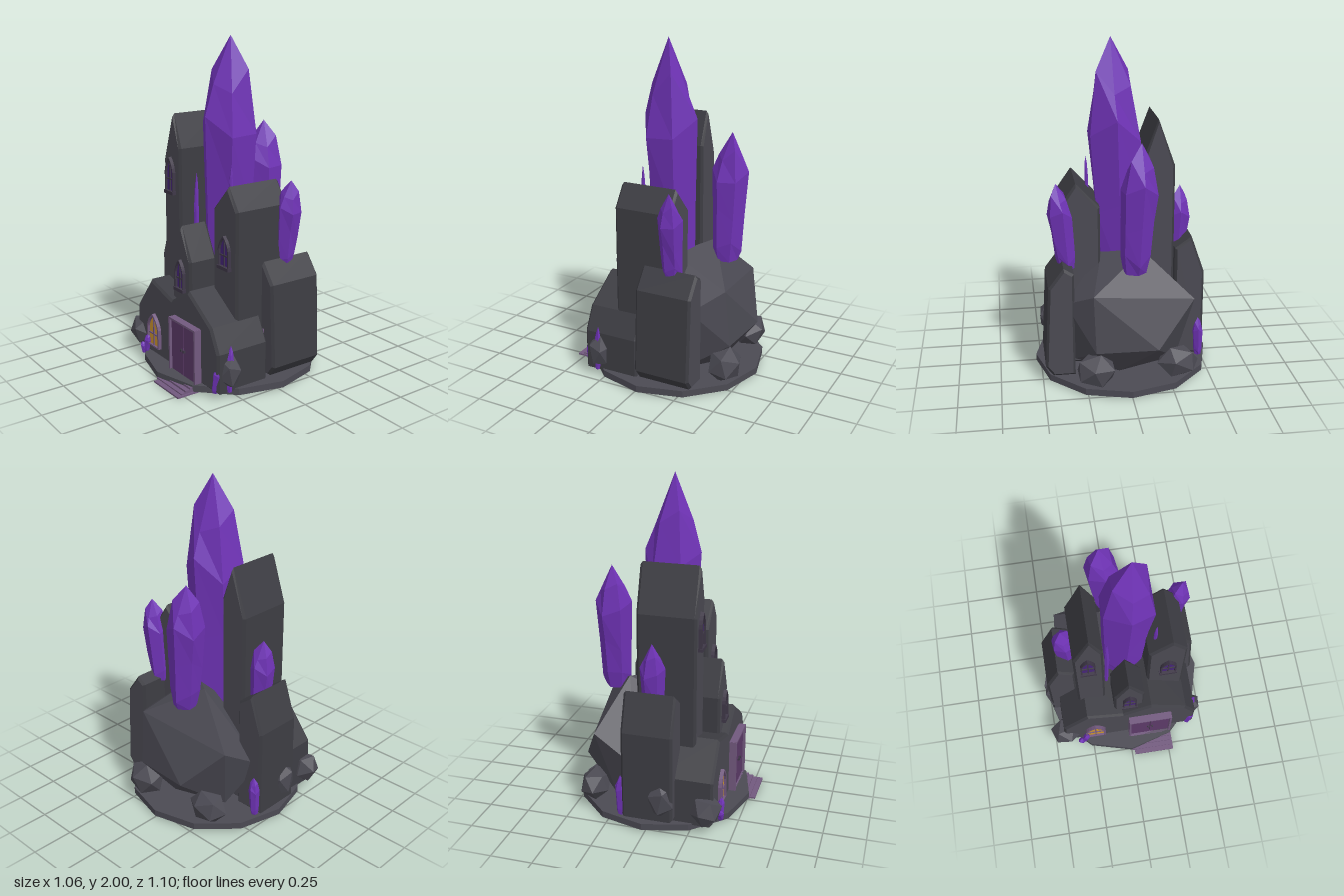
import * as THREE from 'three';
import { ConvexGeometry } from 'three/addons/geometries/ConvexGeometry.js';

const mat = (name, color, flatShading = true) => {
  const m = new THREE.MeshStandardMaterial({ color, flatShading });
  m.name = name;
  return m;
};
const V = (x, y, z) => new THREE.Vector3(x, y, z);

export function createModel() {
  const stone = mat('stone', 0x4b4a53);
  const darkStone = mat('dark stone', 0x3d3d43);
  const crystalMat = mat('crystal', 0x6f33b6);
  const doorMat = mat('door wood', 0x5d3b69);
  const trim = mat('mauve trim', 0x72597e);
  const gold = mat('lit glass', 0xd0962f);
  const pane = mat('violet glass', 0x46257a);
  const frameMat = mat('window frame', 0x3f3848);

  const model = new THREE.Group();
  const add = (name, geo, material, x = 0, y = 0, z = 0, parent = model) => {
    const m = new THREE.Mesh(geo, material);
    m.name = name;
    m.position.set(x, y, z);
    parent.add(m);
    return m;
  };
  const box = (name, material, x0, x1, y0, y1, z0, z1, parent) =>
    add(name, new THREE.BoxGeometry(x1 - x0, y1 - y0, z1 - z0), material,
      (x0 + x1) / 2, (y0 + y1) / 2, (z0 + z1) / 2, parent);

  // Ground disc
  add('base', new THREE.CylinderGeometry(0.53, 0.53, 0.04, 12), stone, 0, 0.03, -0.02);

  // Bevelled gabled slabs running front to back
  const slab = (name, pts, z0, z1, b = 0.014) => {
    const shape = new THREE.Shape(pts.map(p => new THREE.Vector2(...p)));
    const geo = new THREE.ExtrudeGeometry(shape, {
      depth: z1 - z0 - 2 * b, bevelThickness: b, bevelSize: b, bevelOffset: -b, bevelSegments: 1,
    });
    add(name, geo, [stone, darkStone], 0, 0, z0 + b);
  };
  slab('house', [[-0.44, 0.04], [0.44, 0.04], [0.44, 0.28], [0.37, 0.42], [0.14, 0.57],
    [-0.04, 0.46], [-0.27, 0.525], [-0.43, 0.32]], 0.03, 0.38);
  box('houseBackPanel', trim, -0.4, 0.4, 0.07, 0.34, 0.023, 0.031);

  const tower = (name, x0, x1, y0, yl, xa, ya, yr, z0, z1) =>
    slab(name, [[x0, y0], [x1, y0], [x1, yr], [xa, ya], [x0, yl]], z0, z1);
  tower('tallTower', -0.31, -0.135, 0.05, 1.26, -0.21, 1.54, 1.34, -0.11, 0.245);
  tower('broadTower', 0.14, 0.37, 0.05, 1.04, 0.28, 1.19, 1.06, -0.16, 0.2);
  tower('centreTower', -0.09, 0.1, 0.2, 0.7, 0, 0.92, 0.72, 0.15, 0.335);
  tower('rightSideTower', -0.49, -0.31, 0.06, 0.6, -0.41, 0.83, 0.76, -0.155, 0.155);
  slab('leftSideTower', [[0.31, 0.06], [0.44, 0.06], [0.485, 0.12], [0.46, 0.62],
    [0.37, 0.74], [0.31, 0.7]], -0.33, 0.02);

  // Large boulder at the back
  add('boulder', new ConvexGeometry([
    V(-0.16, 0.27, -0.485), V(0.21, 0.6, -0.43), V(0.36, 0.5, -0.28), V(-0.39, 0.52, -0.35),
    V(-0.1, 0.79, -0.22), V(0.12, 0.74, -0.05), V(0.05, 0.07, -0.33), V(-0.3, 0.1, -0.25),
    V(0.3, 0.1, -0.2), V(-0.42, 0.35, -0.08), V(0.4, 0.3, -0.05), V(0, 0.6, 0.1),
    V(0.2, 0.26, -0.46), V(0, 0.1, 0.05),
  ]), stone);

  // Small rocks around the base
  [
    [-0.42, 0.14, 0.34, 0.105, 0.1, 0.095, 0.3],
    [0.415, 0.16, 0.29, 0.085, 0.115, 0.075, 1.1],
    [0.2, 0.14, -0.43, 0.125, 0.11, 0.105, 2],
    [-0.29, 0.14, -0.385, 0.13, 0.1, 0.095, 0.8],
    [-0.45, 0.19, 0.08, 0.085, 0.13, 0.09, 1.7],
  ].forEach(([x, y, z, sx, sy, sz, turn]) => {
    const geo = new THREE.IcosahedronGeometry(1, 0);
    geo.rotateY(turn).rotateX(0.3).scale(sx, sy, sz);
    add('rock', geo, stone, x, y, z);
  });

  // Six-sided crystals: a lathed profile with uneven rings, leaning from base to tip
  const profile = [[0, 0], [0.62, 0], [0.8, 0.12], [0.88, 0.38], [1, 0.66], [0.68, 0.83], [0, 1]];
  const crystal = (name, r, y0, y1, bx, bz, tx, tz, turn = 0) => {
    const h = y1 - y0;
    const geo = new THREE.LatheGeometry(
      profile.map(([pr, t]) => new THREE.Vector2(pr * r, t * h)), 6, turn);
    const p = geo.attributes.position, n = profile.length;
    for (let i = 0; i < p.count; i++) {
      const ring = i % n, side = Math.floor(i / n) % 6;
      const t = profile[ring][1];
      const shift = ring > 1 && ring < n - 1 ? 0.05 * Math.sin(side * 2.3 + ring * 1.9) : 0;
      p.setXYZ(i, p.getX(i) + bx + (tx - bx) * t, y0 + (t + shift) * h, p.getZ(i) + bz + (tz - bz) * t);
    }
    geo.computeVertexNormals();
    add(name, geo, crystalMat);
  };
  crystal('mainCrystal', 0.17, 0.45, 2, 0.0, 0, 0.055, 0.015);
  crystal('backCrystal', 0.11, 0.7, 1.465, -0.04, -0.32, -0.075, -0.33, 0.15);
  crystal('leftCrystal', 0.075, 0.68, 1.2, 0.34, -0.16, 0.395, -0.165, 0.2);
  crystal('rightCrystal', 0.075, 0.6, 1.11, -0.33, 0, -0.36, 0, 0.1);
  crystal('shard', 0.016, 0.53, 1.2, -0.115, 0.15, -0.1, 0.15);
  crystal('shard', 0.012, 0.95, 1.28, 0.185, 0.11, 0.195, 0.11);
  crystal('groundCrystal', 0.022, 0.04, 0.165, -0.305, 0.4, -0.285, 0.4);
  crystal('groundCrystal', 0.02, 0.03, 0.1, -0.32, 0.405, -0.335, 0.41);
  crystal('groundCrystal', 0.03, 0.04, 0.21, 0.4, 0.37, 0.42, 0.355);
  crystal('groundCrystal', 0.022, 0.04, 0.32, 0.44, 0.3, 0.44, 0.29);
  crystal('groundCrystal', 0.033, 0.06, 0.31, -0.46, -0.165, -0.455, -0.17);

  // Pointed windows: glass, frame with opening, mullions and sill
  const arch = (path, w, h) => {
    const s = h * 0.58;
    path.moveTo(-w, 0);
    path.lineTo(w, 0);
    path.lineTo(w, s);
    path.quadraticCurveTo(w * 0.8, h * 0.82, 0, h);
    path.quadraticCurveTo(-w * 0.8, h * 0.82, -w, s);
    path.closePath();
    return path;
  };
  const gothicWindow = (name, x, y, z, w, h, glass, frame, sill) => {
    const g = new THREE.Group();
    g.name = name;
    g.position.set(x, y, z);
    model.add(g);
    const opts = { bevelEnabled: false, curveSegments: 4 };
    const outer = arch(new THREE.Shape(), w, h);
    const inner = arch(new THREE.Path(), w * 0.82, h * 0.9);
    inner.curves.forEach(c => ['v0', 'v1', 'v2'].forEach(k => c[k] && (c[k].y += h * 0.04)));
    outer.holes.push(inner);
    add('frame', new THREE.ExtrudeGeometry(outer, { ...opts, depth: 0.022 }), frame, 0, 0, 0, g);
    add('glass', new THREE.ExtrudeGeometry(arch(new THREE.Shape(), w * 0.92, h * 0.96),
      { ...opts, depth: 0.008 }), glass, 0, 0, 0, g);
    box('mullion', frame, -0.004, 0.004, 0, h * 0.9, 0, 0.015, g);
    box('crossbar', frame, -w * 0.9, w * 0.9, h * 0.36, h * 0.36 + 0.008, 0, 0.015, g);
    if (sill) box('sill', frame, -w * 1.12, w * 1.12, -0.01, 0.01, 0, 0.027, g);
  };
  gothicWindow('litWindow', -0.227, 0.1, 0.38, 0.066, 0.215, gold, trim, false);
  gothicWindow('tallTowerWindow', -0.227, 1.065, 0.244, 0.043, 0.215, pane, frameMat, true);
  gothicWindow('broadTowerWindow', 0.265, 0.715, 0.199, 0.049, 0.19, pane, frameMat, true);
  gothicWindow('centreTowerWindow', 0.007, 0.535, 0.334, 0.043, 0.185, pane, frameMat, true);

  // Double door with jambs, lintel and knobs
  for (const s of [-1, 1]) {
    const cx = 0.135 + s * 0.064;
    box('doorLeaf', doorMat, cx - 0.061, cx + 0.061, 0.05, 0.373, 0.37, 0.41);
    box('doorJamb', trim, 0.135 + s * 0.133 - 0.006, 0.135 + s * 0.133 + 0.006, 0.04, 0.38, 0.37, 0.425);
    box('doorKnob', frameMat, 0.135 + s * 0.014 - 0.005, 0.135 + s * 0.014 + 0.005, 0.2, 0.215, 0.41, 0.422);
  }
  box('doorLintel', trim, 0, 0.27, 0.37, 0.382, 0.37, 0.425);
  box('doorGap', frameMat, 0.13, 0.14, 0.05, 0.372, 0.37, 0.4);

  // Stairs
  for (let i = 0; i < 4; i++)
    box('step', trim, 0.002, 0.268, 0.005, 0.05 - i * 0.011, 0.38, 0.427 + i * 0.029);
  box('doorstepSlab', trim, 0.02, 0.28, 0, 0.01, 0.38, 0.545);

  return model;
}
